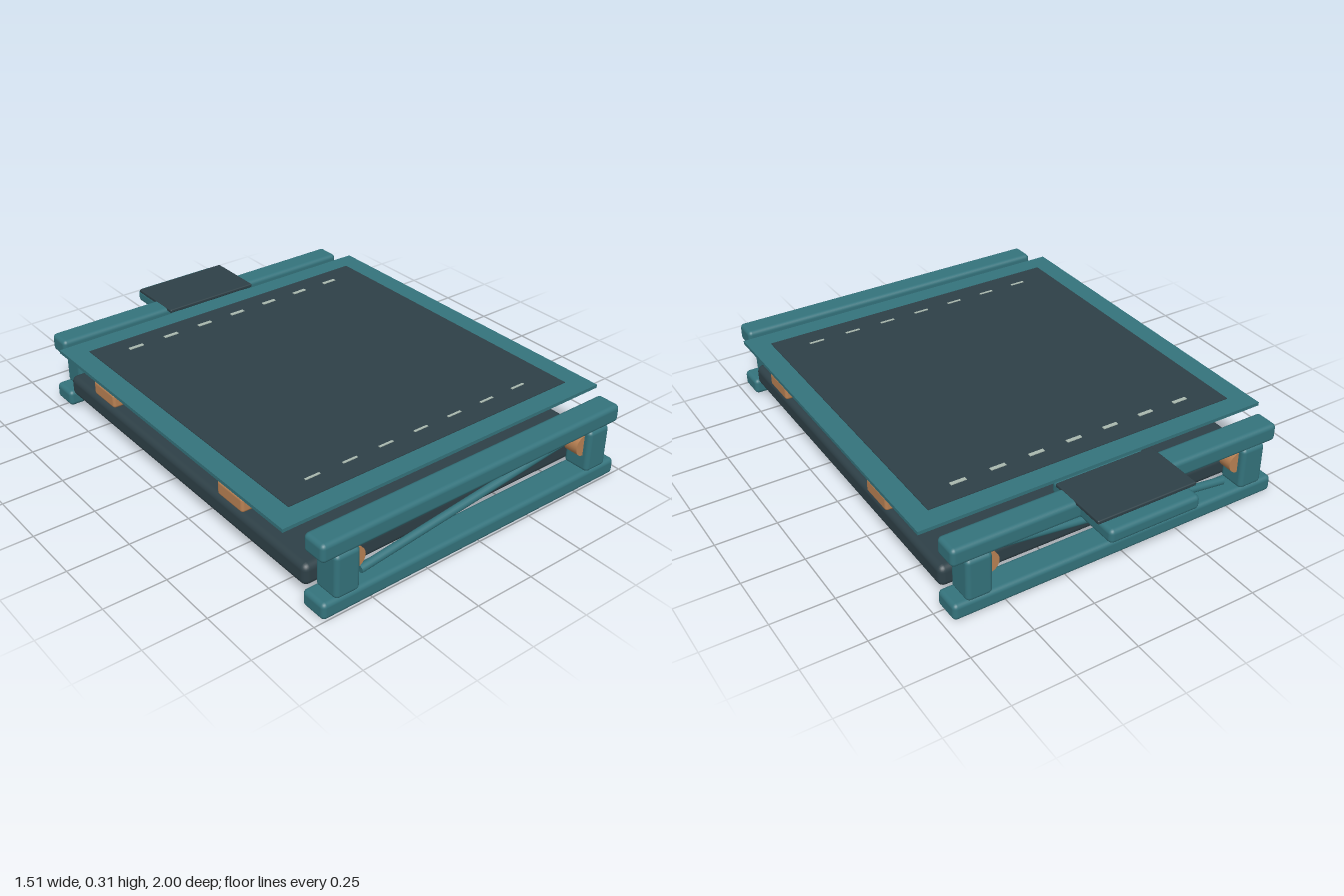
import * as THREE from 'three';
import { RoundedBoxGeometry } from 'three/addons/geometries/RoundedBoxGeometry.js';

const mat = (name, color) => {
  const m = new THREE.MeshStandardMaterial({ color });
  m.name = name;
  return m;
};

export function createModel() {
  const teal = mat('teal paint', 0x34737c);
  const dark = mat('dark slate', 0x2e4047);
  const tan = mat('tan pads', 0xb98153);
  const pale = mat('pale stitching', 0xa9b8ae);
  const model = new THREE.Group();

  const add = (parent, name, geometry, material) => {
    const mesh = new THREE.Mesh(geometry, material);
    mesh.name = name;
    parent.add(mesh);
    return mesh;
  };
  // Box given by its extents; r > 0 rounds the edges
  const box = (parent, name, material, [x0, x1], [y0, y1], [z0, z1], r = 0) => {
    const size = [x1 - x0, y1 - y0, z1 - z0];
    const geometry = r ? new RoundedBoxGeometry(...size, 3, r) : new THREE.BoxGeometry(...size);
    add(parent, name, geometry, material)
      .position.set((x0 + x1) / 2, (y0 + y1) / 2, (z0 + z1) / 2);
  };

  // Thick lower slab
  box(model, 'lowerSlab', dark, [-0.7, 0.7], [0.06, 0.148], [-0.715, 0.885], 0.025);

  // End frames: two rails, two posts, round joints and a diagonal brace
  for (const [name, z] of [['frontFrame', 0.942], ['backFrame', -0.77]]) {
    const frame = new THREE.Group();
    frame.name = name;
    frame.position.z = z;
    model.add(frame);
    box(frame, 'bottomRail', teal, [-0.712, 0.712], [0, 0.068], [-0.058, 0.058], 0.018);
    box(frame, 'topRail', teal, [-0.712, 0.712], [0.23, 0.305], [-0.052, 0.052], 0.018);
    for (const s of [-1, 1]) {
      const x = s * 0.605;
      box(frame, 'post', teal, [x - 0.053, x + 0.053], [0.06, 0.24], [-0.057, 0.057], 0.018);
      const joint = add(frame, 'joint', new THREE.CylinderGeometry(0.044, 0.044, 0.06, 24), tan);
      joint.rotation.x = Math.PI / 2;
      joint.position.set(s * 0.556, 0.173, 0);
    }
    const low = new THREE.Vector3(-0.51, 0.088, 0);
    const high = new THREE.Vector3(0.51, 0.215, 0);
    const brace = add(frame, 'brace',
      new THREE.CylinderGeometry(0.016, 0.016, low.distanceTo(high), 16), teal);
    brace.position.lerpVectors(low, high, 0.5);
    brace.quaternion.setFromUnitVectors(new THREE.Vector3(0, 1, 0), high.clone().sub(low).normalize());
  }

  // Upper panel with a dark inset and two rows of stitches
  box(model, 'upperPanel', teal, [-0.755, 0.755], [0.291, 0.305], [-0.67, 0.84]);
  box(model, 'panelInset', dark, [-0.667, 0.667], [0.303, 0.308], [-0.585, 0.755]);
  for (const [z, depth] of [[-0.5, 0.015], [0.666, 0.009]]) {
    for (let i = -3; i <= 3; i++) {
      const x = i * 0.166;
      box(model, 'stitch', pale, [x - 0.032, x + 0.032], [0.304, 0.311], [z - depth / 2, z + depth / 2]);
    }
  }

  // Side pads beneath the panel
  for (const s of [-1, 1]) {
    for (const z of [0.52, -0.34]) {
      box(model, 'sidePad', tan, [s * 0.708 - 0.037, s * 0.708 + 0.037], [0.218, 0.279],
        [z - 0.076, z + 0.076], 0.012);
    }
  }

  // Rear tab with a dark cover plate
  box(model, 'rearTab', teal, [-0.195, 0.195], [0.23, 0.288], [-1, -0.64], 0.018);
  box(model, 'tabCover', dark, [-0.213, 0.213], [0.293, 0.309], [-0.95, -0.692], 0.005);

  return model;
}
